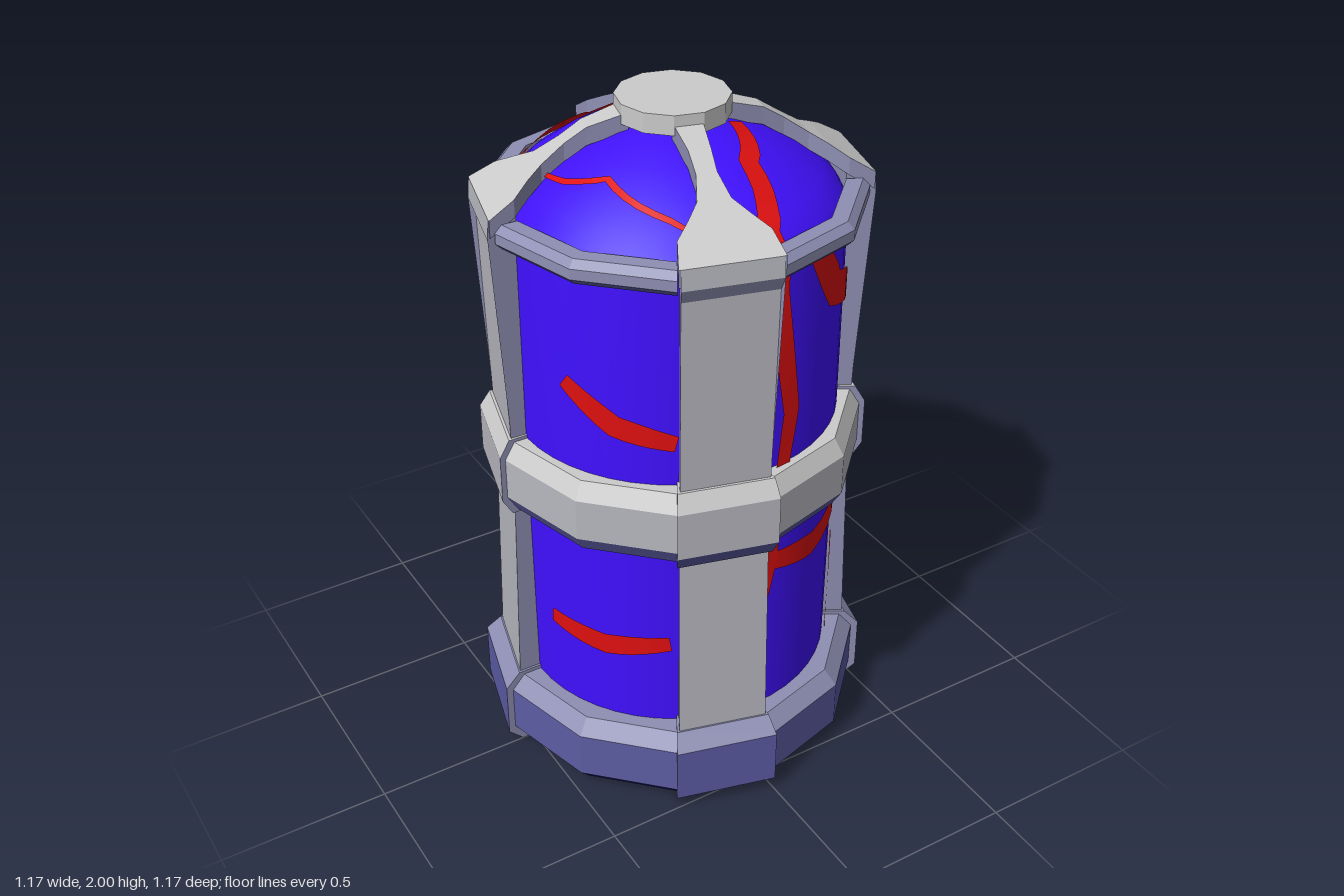
import * as THREE from 'three';

const RAD = Math.PI / 180;
const GREY = 0xcccccc, SOFT = 0xb8b8c0, STEEL = 0x8f8fb4, DUSK = 0x5c5ca4, NAVY = 0x1c1c80, DEEP = 0x00006a;
const polar = (aDeg, r, y) => new THREE.Vector3(r * Math.cos(aDeg * RAD), y, r * Math.sin(aDeg * RAD));

function material(color, extra = {}) {
  return new THREE.MeshStandardMaterial({ color, ...extra });
}

// Faceted solid through a row of equal cross-sections; one colour per section edge
function loft(name, sections, colors) {
  const group = new THREE.Group();
  group.name = name;
  const byColor = new Map();
  const tri = (color, ...pts) => {
    if (!byColor.has(color)) byColor.set(color, []);
    byColor.get(color).push(...pts);
  };
  const n = sections[0].length;
  for (let i = 0; i + 1 < sections.length; i++) {
    const s = sections[i], e = sections[i + 1];
    for (let k = 0; k < n; k++) {
      const c = colors[k % colors.length], j = (k + 1) % n;
      tri(c, s[k], s[j], e[j], s[k], e[j], e[k]);
    }
  }
  const first = sections[0], last = sections[sections.length - 1];
  for (let k = 1; k + 1 < n; k++) {
    tri(STEEL, first[0], first[k + 1], first[k]);
    tri(STEEL, last[0], last[k], last[k + 1]);
  }
  for (const [color, pts] of byColor) {
    const geo = new THREE.BufferGeometry().setFromPoints(pts);
    geo.computeVertexNormals();
    const mesh = new THREE.Mesh(geo, material(color, { flatShading: true }));
    mesh.name = name;
    group.add(mesh);
  }
  return group;
}

// Profile of [r, y] pairs carried round the axis through the given angles
const sweep = (name, profile, angles, colors) =>
  loft(name, angles.map(a => profile.map(([r, y]) => polar(a, r, y))), colors);

const hoop = (ri, ro, yb, yt, bevel, inset) => [
  [ri, yb], [ro - inset, yb], [ro, yb + bevel], [ro, yt - bevel], [ro - inset, yt], [ri, yt]];

// Glass outline [r, y]
const GLASS = [[0.465, 0.1], [0.47, 0.9], [0.47, 1.7], [0.445, 1.745], [0.40, 1.79], [0.33, 1.84],
  [0.25, 1.885], [0.16, 1.922], [0.08, 1.943], [0, 1.95]];

function glassAt(aDeg, y) {
  let i = 0;
  while (i < GLASS.length - 2 && GLASS[i + 1][1] < y) i++;
  const [r0, y0] = GLASS[i], [r1, y1] = GLASS[i + 1];
  const r = r0 + (r1 - r0) * (y - y0) / (y1 - y0);
  const slope = (r1 - r0) / (y1 - y0);
  const normal = polar(aDeg, 1, -slope).normalize();
  return { point: polar(aDeg, r, y).addScaledVector(normal, 0.008), normal };
}

// Ribbon lying on the glass along [angle, y] points, tapered at both ends
function crack(width, path) {
  const steps = 5, total = (path.length - 1) * steps, samples = [];
  for (let i = 0; i <= total; i++) {
    const k = Math.min(Math.floor(i / steps), path.length - 2), f = i / steps - k;
    samples.push(glassAt(
      THREE.MathUtils.lerp(path[k][0], path[k + 1][0], f),
      THREE.MathUtils.lerp(path[k][1], path[k + 1][1], f)));
  }
  const pts = [], index = [];
  samples.forEach(({ point, normal }, i) => {
    const tangent = samples[Math.min(i + 1, total)].point.clone().sub(samples[Math.max(i - 1, 0)].point);
    const w = width * (0.35 + 0.15 * Math.sin(Math.PI * i / total));
    const side = tangent.cross(normal).normalize().multiplyScalar(w);
    pts.push(point.clone().add(side), point.clone().sub(side));
    if (i < total) index.push(2 * i, 2 * i + 2, 2 * i + 1, 2 * i + 1, 2 * i + 2, 2 * i + 3);
  });
  const geo = new THREE.BufferGeometry().setFromPoints(pts);
  geo.setIndex(index);
  geo.computeVertexNormals();
  const mesh = new THREE.Mesh(geo, material(0xe01010, { side: THREE.DoubleSide }));
  mesh.name = 'crack';
  return mesh;
}

// Roof rib: wide at the post, waisted, ending under the cap; stations are [r, top, half width]
function rib(aDeg) {
  const d = polar(aDeg, 1, 0), t = polar(aDeg + 90, 1, 0);
  const stations = [[0.525, 1.768, 0.139], [0.455, 1.81, 0.122], [0.41, 1.838, 0.08], [0.365, 1.862, 0.045],
    [0.3, 1.905, 0.028], [0.24, 1.943, 0.03], [0.13, 1.975, 0.04]];
  const sections = stations.map(([r, top, hw]) => [[-hw, top - 0.05], [hw, top - 0.05], [hw, top], [-hw, top]]
    .map(([u, y]) => d.clone().multiplyScalar(r).addScaledVector(t, u).setY(y)));
  return loft('roofRib', sections, [STEEL, STEEL, GREY, STEEL]);
}

export function createModel() {
  const model = new THREE.Group();
  model.name = 'lantern';

  // Domed glass
  const glass = new THREE.Mesh(
    new THREE.LatheGeometry(GLASS.map(([r, y]) => new THREE.Vector2(r, y)), 48),
    material(0x4010ff, { side: THREE.DoubleSide }));
  glass.name = 'glass';
  model.add(glass);

  // Frame, repeated four times: one post side, then two open sides of a twelve-sided plan
  const baseColors = [DEEP, NAVY, DUSK, STEEL, STEEL, STEEL];
  const beltColors = [NAVY, DUSK, SOFT, GREY, GREY, STEEL];
  const post = [[0.465, 0.2], [0.533, 0.2], [0.515, 0.9], [0.515, 1.05], [0.53, 1.67], [0.548, 1.71],
    [0.543, 1.768], [0.465, 1.768]];
  for (let q = 0; q < 4; q++) {
    const a = q * 90;
    const side = [a, a + 30], open = [a + 30, a + 60, a + 90];
    model.add(
      sweep('post', post, [a + 0.8, a + 29.2], [STEEL, SOFT, SOFT, SOFT, STEEL, SOFT, GREY, STEEL]),
      sweep('baseBlock', hoop(0.45, 0.583, 0, 0.262, 0.045, 0.045), side, baseColors),
      sweep('baseRing', hoop(0.45, 0.562, 0.015, 0.25, 0.045, 0.04), open, baseColors),
      sweep('beltBlock', hoop(0.45, 0.556, 0.85, 1.095, 0.05, 0.03), side, beltColors),
      sweep('beltRing', hoop(0.45, 0.54, 0.86, 1.085, 0.05, 0.03), open, beltColors),
      sweep('topRail', hoop(0.465, 0.53, 1.68, 1.75, 0.02, 0.02), open, [DUSK, DUSK, STEEL, STEEL, STEEL, STEEL]),
      rib(a + 15));
  }

  // Floor and roof cap
  const floor = new THREE.Mesh(new THREE.CylinderGeometry(0.5, 0.5, 0.1, 12), material(DEEP, { flatShading: true }));
  floor.name = 'floor';
  floor.position.y = 0.062;
  const cap = new THREE.Mesh(new THREE.CylinderGeometry(0.155, 0.155, 0.055, 12), material(GREY, { flatShading: true }));
  cap.name = 'roofCap';
  cap.position.y = 1.9725;
  model.add(floor, cap);

  // Cracks in the glass: [width, path of [angle, height]]
  const cracks = [
    [0.065, [[40, 1.922], [74, 1.88], [87, 1.77], [87, 1.62], [80, 1.25], [83, 1.07]]],
    [0.05, [[85, 0.88], [89, 0.65]]],
    [0.1, [[70, 1.69], [58, 1.54], [29, 1.44]]],
    [0.08, [[87, 0.77], [65, 0.74], [30, 0.78]]],
    [0.05, [[33, 0.6], [38, 0.42], [36, 0.25]]],
    [0.07, [[158, 1.36], [140, 1.26], [120, 1.22]]],
    [0.07, [[168, 0.53], [145, 0.51], [122, 0.54]]],
    [0.07, [[209, 1.745], [240, 1.79], [263, 1.79], [279, 1.845], [302, 1.88]]],
    [0.07, [[299, 1.74], [316, 1.77], [334, 1.745]]],
    [0.05, [[315, 1.9], [340, 1.84], [358, 1.765]]],
    [0.02, [[188, 1.825], [175, 1.835], [155, 1.862], [122, 1.81], [114, 1.79]]],
    [0.065, [[359, 1.52], [342, 1.56], [320, 1.53], [302, 1.67]]],
    [0.06, [[357, 1.62], [352, 1.35], [356, 1.1]]],
    [0.07, [[334, 1.1], [300, 1.15]]],
    [0.03, [[359, 0.83], [341, 0.84], [320, 0.73], [300, 0.63]]],
    [0.07, [[270, 1.17], [240, 1.18], [211, 1.22]]],
    [0.08, [[270, 0.57], [240, 0.62], [211, 0.62]]],
    [0.04, [[261, 0.86], [245, 0.62]]],
  ];
  for (const [width, path] of cracks) model.add(crack(width, path));

  return model;
}
